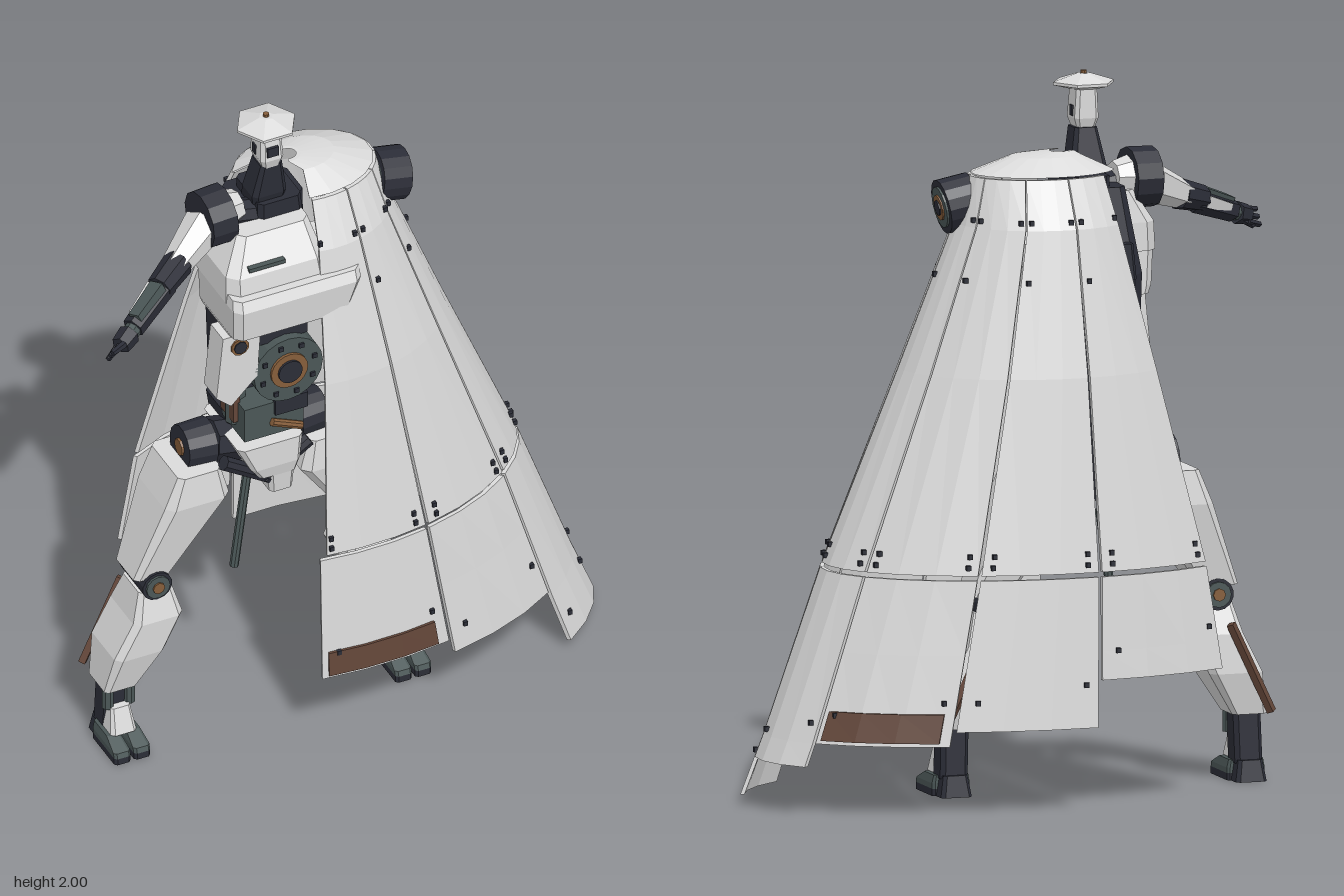
import * as THREE from 'three';

const mat = (name, color) => {
  const m = new THREE.MeshStandardMaterial({ color });
  m.name = name;
  return m;
};

export function createModel() {
  const root = new THREE.Group();
  root.name = 'cloakedRobot';
  const white = mat('white armour', 0xdadada);
  const dark = mat('dark frame', 0x2b2d37);
  const steel = mat('gunmetal', 0x4b5757);
  const brown = mat('brown patch', 0x634639);
  const bronze = mat('bronze', 0x855d3a);

  const V = (p) => new THREE.Vector3(...p);
  const add = (name, geo, m) => {
    const g = geo.index ? geo.toNonIndexed() : geo;
    g.computeVertexNormals(); // faceted look
    const mesh = new THREE.Mesh(g, m);
    mesh.name = name;
    root.add(mesh);
    return mesh;
  };
  const box = (name, m, [x, y, z], [w, h, d]) =>
    add(name, new THREE.BoxGeometry(w, h, d).translate(x, y, z), m);

  // round bar from a to b
  const strut = (name, m, a, b, r0, r1 = r0, sides = 8) => {
    const d = V(b).sub(V(a));
    const mesh = add(name, new THREE.CylinderGeometry(r1, r0, d.length(), sides), m);
    mesh.position.copy(V(a)).addScaledVector(d, 0.5);
    mesh.quaternion.setFromUnitVectors(new THREE.Vector3(0, 1, 0), d.normalize());
    return mesh;
  };

  // closed solid through loops of points, wound outward
  const loft = (loops) => {
    const n = loops[0].length, tris = [];
    const quad = (a, b, c, d) => tris.push([a, b, c], [a, c, d]);
    for (let s = 0; s < loops.length - 1; s++)
      for (let k = 0; k < n; k++) {
        const j = (k + 1) % n;
        quad(loops[s][k], loops[s][j], loops[s + 1][j], loops[s + 1][k]);
      }
    const A = loops[0], B = loops[loops.length - 1];
    for (let k = 0; k < n / 2 - 1; k++) {
      quad(A[k + 1], A[k], A[n - 1 - k], A[n - 2 - k]);
      quad(B[k], B[k + 1], B[n - 2 - k], B[n - 1 - k]);
    }
    const o = V(A[0]);
    const vol = tris.reduce((t, [a, b, c]) =>
      t + V(a).sub(o).dot(V(b).sub(o).cross(V(c).sub(o))), 0);
    if (vol < 0) tris.forEach((t) => t.reverse());
    const g = new THREE.BufferGeometry();
    g.setAttribute('position', new THREE.Float32BufferAttribute(tris.flat(2), 3));
    return g;
  };

  // chamfered block from sections [y, x0, x1, z0, z1]
  const block = (name, m, sections, cut = 0.15, mx = (x) => x) =>
    add(name, loft(sections.map(([y, x0, x1, z0, z1]) => {
      const c = cut * Math.min(x1 - x0, z1 - z0);
      return [[x0 + c, z0], [x1 - c, z0], [x1, z0 + c], [x1, z1 - c],
        [x1 - c, z1], [x0 + c, z1], [x0, z1 - c], [x0, z0 + c]].map(([x, z]) => [mx(x), y, z]);
    })), m);

  // ---- cloak: rings [y, centre x, radius x, radius z]
  const rings = [[1.79, -0.11, 0.04, 0.035], [1.78, -0.07, 0.1, 0.075], [1.735, -0.06, 0.21, 0.155],
    [1.6, -0.06, 0.25, 0.22], [1.2, -0.05, 0.40, 0.305], [0.66, -0.036, 0.61, 0.38],
    [0.2, -0.01, 0.75, 0.412], [0, 0, 0.82, 0.42]];
  const cloakPoint = (deg, y, off = 0) => {
    let i = 0;
    while (i < rings.length - 2 && y < rings[i + 1][0]) i++;
    const t = (rings[i][0] - y) / (rings[i][0] - rings[i + 1][0]);
    const [cx, rx, rz] = [1, 2, 3].map((k) => THREE.MathUtils.lerp(rings[i][k], rings[i + 1][k], t));
    const a = THREE.MathUtils.degToRad(deg);
    return [cx + (rx + off) * Math.cos(a), y, (rz + off) * Math.sin(a)];
  };
  const shell = (name, m, a0, a1, ys, cols = 3, off = 0, thick = 0.012) => {
    const loops = [];
    for (let i = 0; i <= cols; i++) {
      const a = a0 + (a1 - a0) * i / cols;
      loops.push([...ys.map((y) => cloakPoint(a, y, off)),
        ...[...ys].reverse().map((y) => cloakPoint(a, y, off - thick))]);
    }
    add(name, loft(loops), m);
  };
  const rivet = (deg, y) => box('rivet', dark, cloakPoint(deg, y, 0.002), [0.012, 0.014, 0.012]);

  shell('collar', white, 104, -160, [1.79, 1.78, 1.737], 14);
  const seams = [104.5, 72.5, 38.5, 8, -25.5, -63, -96, -132];
  const hems = [0.265, 0.22, 0.03, 0.135, 0.2, 0.24, 0.37];
  hems.forEach((hem, i) => {
    const a0 = seams[i] - 0.5, a1 = seams[i + 1] + 0.5;
    const trim = i === 0 ? 1.8 : 0; // the upper front panel is cut back a little
    shell('upperCloakPanel', white, a0 - trim, a1, [1.732, 1.6, 1.2, 0.668]);
    shell('lowerCloakPanel', white, a0, a1, [0.655, hem < 0.2 ? 0.2 : 0.45, hem]);
    for (const a of [a0 - 3, a1 + 3])
      for (const y of [1.62, 0.72, 0.69]) rivet(a, y);
    rivet(a0 - 4, 1.46);
    rivet(a0 - 4, hem + 0.08);
    rivet(a1 + 3, hem + 0.12);
  });
  shell('frontHemPatch', brown, 102.5, 76, [0.35, 0.275], 3, 0.007, 0.008);
  shell('backHemPatch', brown, -28, -60, [0.29, 0.21], 3, 0.007, 0.008);

  // ---- shoulder poking out of the cloak, tilted down
  const axis = (t) => [0.135 + t, 1.66 - 0.2 * t, 0.035];
  const shoulderDisc = (name, m, t, r, sides) => strut(name, m, axis(0), axis(t), r, r, sides);
  shoulderDisc('leftShoulder', dark, 0.086, 0.077, 16);
  shoulderDisc('leftShoulderRing', steel, 0.092, 0.058, 16);
  shoulderDisc('leftShoulderHub', bronze, 0.096, 0.036, 12);
  shoulderDisc('leftShoulderBolt', dark, 0.1, 0.022, 8);

  // ---- head with wide hat
  const hat = add('hat', new THREE.LatheGeometry([[0, 0.95], [0.04, 0.95], [0.088, 0.962], [0.088, 0.97],
    [0.02, 0.992], [0, 0.992]].map(([x, y]) => new THREE.Vector2(x, y + 1)), 6), white);
  hat.rotation.y = Math.PI / 6;
  hat.position.set(-0.2, 0, 0.057);
  strut('hatPin', bronze, [-0.2, 1.985, 0.057], [-0.2, 2, 0.057], 0.009);
  block('head', white, [[1.84, -0.225, -0.175, 0.03, 0.095], [1.87, -0.235, -0.165, 0.02, 0.105],
    [1.955, -0.23, -0.17, 0.02, 0.095]]);
  box('visor', dark, [-0.202, 1.9, 0.104], [0.034, 0.03, 0.008]);
  for (const x of [-0.167, -0.233]) box('earVent', dark, [x, 1.89, 0.055], [0.008, 0.03, 0.02]);
  block('neck', dark, [[1.68, -0.24, -0.15, -0.03, 0.07], [1.74, -0.252, -0.148, 0, 0.09],
    [1.845, -0.23, -0.165, 0.02, 0.095]]);
  block('neckBase', dark, [[1.64, -0.24, -0.1, -0.06, 0.1], [1.72, -0.24, -0.11, -0.06, 0.1]], 0.1);

  // ---- torso
  block('backFrame', dark, [[0.95, -0.27, -0.1, -0.08, 0.06], [1.05, -0.31, -0.08, -0.11, 0.08],
    [1.45, -0.32, -0.08, -0.12, 0.08], [1.69, -0.28, -0.08, -0.08, 0.06]]);
  for (const y of [1.12, 1.28, 1.44])
    block('backRib', dark, [[y, -0.29, -0.12, -0.14, -0.08], [y + 0.1, -0.28, -0.13, -0.14, -0.08]]);
  block('upperChest', white, [[1.5, -0.39, -0.08, -0.03, 0.23], [1.58, -0.385, -0.09, -0.03, 0.215],
    [1.67, -0.325, -0.11, -0.02, 0.15]], 0.12);
  block('chestPlate', white, [[1.375, -0.375, -0.12, 0, 0.2], [1.4, -0.385, -0.03, 0, 0.255],
    [1.5, -0.39, 0, 0, 0.265], [1.53, -0.385, 0, 0, 0.25]], 0.08);
  box('chestVent', steel, [-0.27, 1.6, 0.204], [0.11, 0.012, 0.018]);
  const side = new THREE.Shape([[-0.4, 1.38], [-0.285, 1.38], [-0.295, 1.22], [-0.375, 1.14], [-0.42, 1.18]]
    .map((p) => new THREE.Vector2(...p)));
  add('sidePlate', new THREE.ExtrudeGeometry(side, { depth: 0.08, bevelEnabled: false }).translate(0, 0, 0.12), white);
  strut('sidePlateBolt', bronze, [-0.35, 1.34, 0.19], [-0.35, 1.34, 0.206], 0.027, 0.027, 10);
  strut('sidePlateBoltCentre', dark, [-0.35, 1.34, 0.19], [-0.35, 1.34, 0.21], 0.02);

  // ---- exposed mechanism
  const disc = (name, m, r, z) => strut(name, m, [-0.2, 1.21, 0.05], [-0.2, 1.21, z], r, r, 20);
  disc('gearDisc', steel, 0.105, 0.2);
  disc('gearRing', bronze, 0.056, 0.208);
  disc('gearHub', dark, 0.036, 0.215);
  for (let i = 0; i < 8; i++) {
    const a = i * Math.PI / 4 + 0.3;
    box('gearBolt', dark, [-0.2 + 0.082 * Math.cos(a), 1.21 + 0.082 * Math.sin(a), 0.202], [0.014, 0.014, 0.008]);
  }
  box('waistBlock', steel, [-0.23, 1.03, 0.1], [0.18, 0.11, 0.14]);
  box('waistShadowBlock', dark, [-0.18, 1.07, 0.13], [0.1, 0.05, 0.1]);
  box('upperWaistBlock', dark, [-0.21, 1.34, 0.1], [0.16, 0.08, 0.15]);
  for (const x of [-0.26, -0.2]) box('upperWaistClip', bronze, [x, 1.355, 0.177], [0.03, 0.02, 0.008]);
  box('waistTrim', brown, [-0.325, 1.09, 0.09], [0.02, 0.14, 0.08]);
  strut('waistPipe', bronze, [-0.24, 1.025, 0.178], [-0.15, 0.985, 0.178], 0.012);
  strut('sidePipe', steel, [-0.31, 1.37, 0.09], [-0.31, 1, 0.09], 0.03);

  // ---- pelvis
  block('pelvis', white, [[0.83, -0.27, -0.16, -0.05, 0.17], [0.87, -0.3, -0.15, -0.05, 0.18],
    [0.95, -0.34, -0.14, -0.06, 0.18]], 0.08);
  block('crotchPlate', white, [[0.765, -0.235, -0.165, 0.06, 0.16], [0.88, -0.25, -0.16, 0.05, 0.175]]);
  block('pelvisFrame', dark, [[0.82, -0.3, -0.17, -0.08, 0.05], [0.99, -0.32, -0.15, -0.1, 0.08]]);
  strut('scabbard', steel, [-0.235, 0.78, 0.02], [-0.285, 0.44, 0.03], 0.013);

  // ---- legs, mirrored about the pelvis
  for (const mx of [(x) => x, (x) => -0.48 - x]) {
    const B = (n, m, s, cut) => block(n, m, s, cut, mx);
    const S = (n, m, a, b, r0, r1, k) => strut(n, m, [mx(a[0]), a[1], a[2]], [mx(b[0]), b[1], b[2]], r0, r1, k);
    S('hipAxle', dark, [-0.24, 0.88, 0.03], [-0.37, 0.91, 0.04], 0.066);
    S('hipJoint', dark, [-0.37, 0.91, 0.04], [-0.455, 0.915, 0.04], 0.07, 0.064, 14);
    S('hipCap', bronze, [-0.45, 0.915, 0.04], [-0.46, 0.915, 0.04], 0.028, 0.025, 10);
    S('hipStrut', dark, [-0.37, 0.9, 0.14], [-0.23, 0.81, 0.14], 0.022);
    B('thigh', white, [[0.555, -0.63, -0.515, -0.015, 0.12], [0.79, -0.545, -0.35, -0.06, 0.155],
      [0.885, -0.505, -0.375, -0.05, 0.145]], 0.12);
    S('knee', dark, [-0.567, 0.53, -0.02], [-0.567, 0.53, 0.13], 0.045, 0.045, 14);
    S('kneeRing', steel, [-0.567, 0.53, -0.027], [-0.567, 0.53, 0.137], 0.036, 0.036, 12);
    S('kneeBolt', bronze, [-0.567, 0.53, -0.032], [-0.567, 0.53, 0.142], 0.018, 0.018, 8);
    B('shin', white, [[0.19, -0.715, -0.615, -0.01, 0.11], [0.31, -0.695, -0.54, -0.04, 0.14],
      [0.42, -0.64, -0.49, -0.035, 0.145], [0.51, -0.615, -0.515, 0, 0.12]], 0.12);
    S('calfStrip', brown, [-0.715, 0.2, -0.04], [-0.595, 0.45, -0.046], 0.014, 0.014, 4);
    B('ankle', dark, [[0.05, -0.71, -0.63, 0.01, 0.09], [0.21, -0.705, -0.625, 0.015, 0.095]]);
    for (const x of [-0.7, -0.635]) S('anklePiston', steel, [x, 0.13, 0.09], [x, 0.19, 0.09], 0.017);
    B('instep', white, [[0.06, -0.71, -0.632, 0.07, 0.14], [0.135, -0.7, -0.642, 0.07, 0.115]]);
    B('heel', dark, [[0, -0.715, -0.625, -0.01, 0.06], [0.06, -0.705, -0.635, 0, 0.06]]);
    for (const x of [-0.725, -0.665]) {
      B('sole', dark, [[0, x, x + 0.05, 0.04, 0.19], [0.02, x, x + 0.05, 0.04, 0.19]]);
      B('toe', steel, [[0.02, x, x + 0.05, 0.04, 0.19], [0.035, x, x + 0.05, 0.04, 0.185],
        [0.058, x + 0.005, x + 0.045, 0.04, 0.13]]);
    }
  }

  // ---- outstretched right arm
  strut('rightShoulderAxle', dark, [-0.24, 1.67, 0.05], [-0.34, 1.69, 0.05], 0.04);
  strut('rightShoulder', dark, [-0.325, 1.695, 0.05], [-0.402, 1.695, 0.055], 0.086, 0.084, 12);
  strut('shoulderCover', white, [-0.28, 1.7, 0.04], [-0.328, 1.7, 0.045], 0.045, 0.06, 8);
  strut('upperArm', white, [-0.39, 1.68, 0.06], [-0.52, 1.625, 0.135], 0.06, 0.04, 6);
  strut('elbow', dark, [-0.5, 1.63, 0.125], [-0.585, 1.605, 0.178], 0.044, 0.038, 8);
  strut('forearm', dark, [-0.56, 1.605, 0.165], [-0.7, 1.555, 0.25], 0.037, 0.032, 6);
  strut('forearmPlate', steel, [-0.59, 1.617, 0.188], [-0.69, 1.58, 0.247], 0.03, 0.025, 4);
  strut('forearmGuard', white, [-0.59, 1.602, 0.16], [-0.68, 1.57, 0.217], 0.024, 0.018, 4);
  strut('wrist', steel, [-0.69, 1.556, 0.245], [-0.72, 1.546, 0.265], 0.024);
  strut('palm', dark, [-0.715, 1.547, 0.26], [-0.755, 1.536, 0.285], 0.032, 0.028, 6);
  for (let i = 0; i < 3; i++) {
    const d = (i - 1) * 0.02;
    strut('finger', dark, [-0.75, 1.535 + d * 0.8, 0.28 + d], [-0.795, 1.525 + d, 0.303 + d * 0.7], 0.011, 0.008, 5);
  }
  strut('thumb', dark, [-0.73, 1.53, 0.26], [-0.77, 1.505, 0.27], 0.011, 0.008, 5);

  return root;
}
